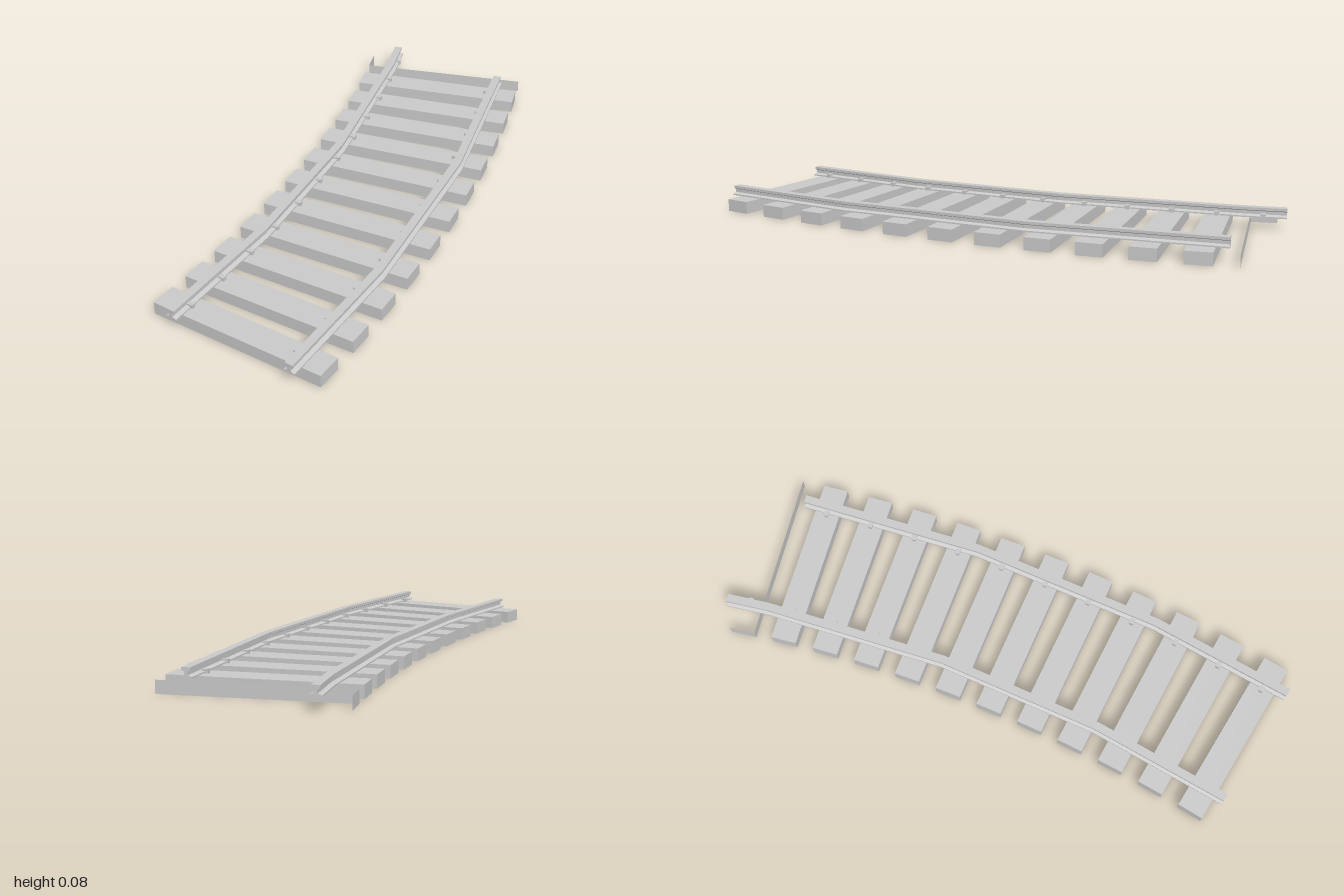
import * as THREE from 'three';

// Curve of the track: centre point and middle radius
const CX = -5.0, CZ = 2.67, R = 5.73;
const rad = THREE.MathUtils.degToRad;
const SLEEPER = { length: 0.655, height: 0.046, width: 0.096 };
const GAUGE = 0.24;

const mat = new THREE.MeshStandardMaterial({ color: 0xcccccc, flatShading: true });
const thinMat = new THREE.MeshStandardMaterial({ color: 0xcccccc, flatShading: true, side: THREE.DoubleSide });

const sleeperAngle = (i) => rad(18.7 + 1.73 * i);
const onArc = (r, a, y) => new THREE.Vector3(CX + r * Math.cos(a), y, CZ - r * Math.sin(a));

function place(object, name, r, a, y) {
  object.name = name;
  object.position.copy(onArc(r, a, y));
  object.rotation.y = a;
  return object;
}

// Right half of the rail section (offset, height), mirrored to a closed outline
const half = [[0.021, 0.046], [0.021, 0.051], [0.006, 0.056], [0.006, 0.068], [0.015, 0.072], [0.015, 0.082]];
const section = [...half, ...half.map(([u, y]) => [-u, y]).reverse()].map(([u, y]) => new THREE.Vector2(u, y));

// Rail swept in straight lengths between the given angles
function railGeometry(radius, degrees) {
  const rings = degrees.map((d) => section.map((p) => onArc(radius + p.x, rad(d), p.y)));
  const points = [];
  for (let k = 0; k < rings.length - 1; k++) {
    const [p, q] = [rings[k], rings[k + 1]];
    section.forEach((_, i) => {
      const j = (i + 1) % section.length;
      points.push(p[i], q[i], q[j], p[i], q[j], p[j]);
    });
  }
  const first = rings[0], last = rings[rings.length - 1];
  for (const [a, b, c] of THREE.ShapeUtils.triangulateShape(section, [])) {
    points.push(first[a], first[b], first[c], last[c], last[b], last[a]);
  }
  const geometry = new THREE.BufferGeometry().setFromPoints(points);
  geometry.computeVertexNormals();
  return geometry;
}

// Spike: a shank in the sleeper with a head hooked over the rail foot
function spike(side) {
  const group = new THREE.Group();
  const shank = new THREE.Mesh(new THREE.BoxGeometry(0.011, 0.017, 0.014), mat);
  shank.name = 'spikeShank';
  shank.position.y = 0.0525;
  const head = new THREE.Mesh(new THREE.BoxGeometry(0.022, 0.006, 0.018), mat);
  head.name = 'spikeHead';
  head.position.set(side * 0.006, 0.058, 0);
  group.add(shank, head);
  return group;
}

export function createModel() {
  const model = new THREE.Group();
  model.name = 'curvedTrack';

  // Sleepers fanned along the curve
  const { length, height, width } = SLEEPER;
  const box = new THREE.BoxGeometry(length, height, width);
  for (let i = 0; i < 11; i++) {
    model.add(place(new THREE.Mesh(box, mat), 'sleeper', R, sleeperAngle(i), height / 2));
  }

  // Open remnant of the last sleeper: one long side and one end
  const remnant = new THREE.Group();
  const longSide = new THREE.Mesh(new THREE.PlaneGeometry(length, height), thinMat);
  longSide.name = 'remnantSide';
  longSide.position.z = width / 2;
  const end = new THREE.Mesh(new THREE.PlaneGeometry(width, height), thinMat);
  end.name = 'remnantEnd';
  end.position.x = -length / 2;
  end.rotation.y = -Math.PI / 2;
  remnant.add(longSide, end);
  model.add(place(remnant, 'sleeperRemnant', R, sleeperAngle(11), height / 2));

  // Inner rail runs one step further back than the outer one
  const rails = [
    { name: 'innerRail', side: -1, angles: [17.85, 23.3, 29.7, 36.9, 38.6], spikes: 12 },
    { name: 'outerRail', side: 1, angles: [17.85, 23.1, 30.1, 36.9], spikes: 11 },
  ];
  for (const { name, side, angles, spikes } of rails) {
    const rail = new THREE.Mesh(railGeometry(R + side * GAUGE - (side < 0 ? -0.015 : 0), angles), mat);
    rail.name = name;
    model.add(rail);

    // Spikes on the inside of the rail, one per sleeper
    for (let i = 0; i < spikes; i++) {
      model.add(place(spike(side), 'railSpike', R + side * 0.204, sleeperAngle(i), 0));
    }
  }
  return model;
}
